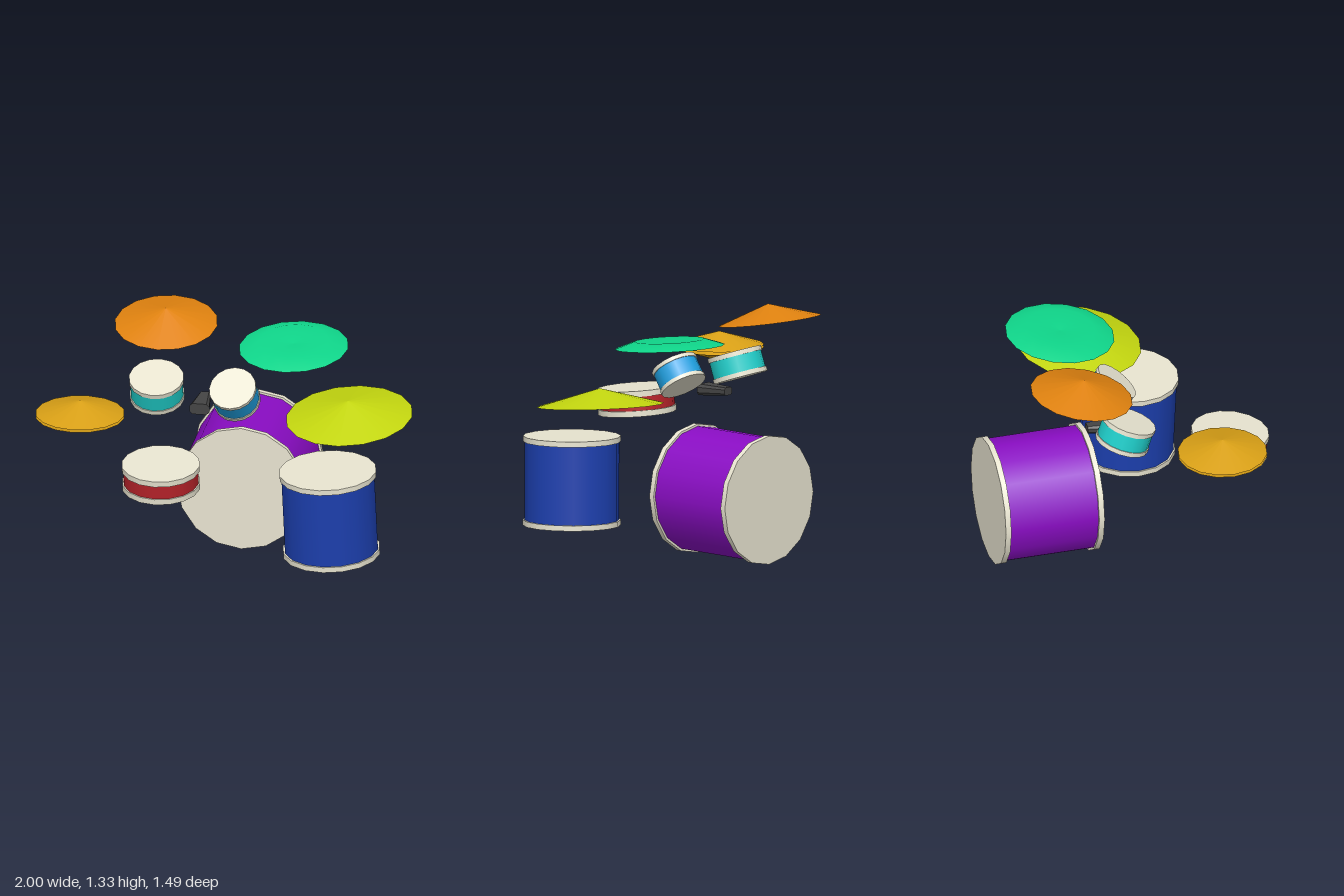
import * as THREE from 'three';

const SIDES = 16;
const CREAM = 0xe8e4d0;
const UP = new THREE.Vector3(0, 1, 0);
const mat = (color, side = THREE.FrontSide) => new THREE.MeshStandardMaterial({ color, side });

// Drum between two head centres: coloured shell with a cream hoop and head at each end
function drum(name, bottom, top, radius, hoopHeight, color) {
  const a = new THREE.Vector3(...bottom);
  const b = new THREE.Vector3(...top);
  const length = a.distanceTo(b);
  const group = new THREE.Group();
  group.name = name;

  const shell = new THREE.Mesh(
    new THREE.CylinderGeometry(radius * 0.965, radius * 0.965, length - hoopHeight, SIDES, 1, true), mat(color));
  shell.name = name + 'Shell';
  group.add(shell);

  for (const s of [1, -1]) {
    const hoop = new THREE.Mesh(new THREE.CylinderGeometry(radius, radius, hoopHeight, SIDES), mat(CREAM));
    hoop.name = name + (s > 0 ? 'TopHoop' : 'BottomHoop');
    hoop.position.y = s * (length - hoopHeight) / 2;
    group.add(hoop);
  }
  group.position.copy(a).lerp(b, 0.5);
  group.quaternion.setFromUnitVectors(UP, b.sub(a).normalize());
  return group;
}

// Thin cymbal turned from a [radius, height] profile, leaning along its axis
function cymbal(name, centre, axis, profile, color) {
  const points = profile.map(([r, y]) => new THREE.Vector2(r, y));
  const mesh = new THREE.Mesh(new THREE.LatheGeometry(points, SIDES), mat(color, THREE.DoubleSide));
  mesh.name = name;
  mesh.position.set(...centre);
  mesh.quaternion.setFromUnitVectors(UP, new THREE.Vector3(...axis).normalize());
  return mesh;
}

// Cowbell: chamfered block narrowing and rising towards the back
function cowbell() {
  const w = 0.055, h = 0.031, c = 0.016, depth = 0.18;
  const outline = [[w, h - c], [w - c, h], [c - w, h], [-w, h - c], [-w, c - h], [c - w, -h], [w - c, -h], [w, c - h]];
  const geometry = new THREE.ExtrudeGeometry(
    new THREE.Shape(outline.map(([x, y]) => new THREE.Vector2(x, y))), { depth, bevelEnabled: false });
  const p = geometry.attributes.position;
  for (let i = 0; i < p.count; i++) {
    const back = 1 - p.getZ(i) / depth;
    p.setX(i, p.getX(i) * (1 - 0.45 * back));
    p.setY(i, p.getY(i) * (1 - 0.3 * back) + 0.008 * back);
  }
  geometry.computeVertexNormals();
  const mesh = new THREE.Mesh(geometry, mat(0x444444));
  mesh.name = 'cowbell';
  mesh.position.set(-0.173, 0.857, -0.25);
  return mesh;
}

export function createModel() {
  const model = new THREE.Group();
  model.name = 'drumKit';

  // Drums
  model.add(
    drum('bassDrum', [0.037, 0.355, -0.745], [0.037, 0.355, -0.188], 0.355, 0.031, 0x8a0dc4),
    drum('floorTom', [0.604, 0.178, 0.19], [0.585, 0.667, 0.206], 0.267, 0.03, 0x1c3fae),
    drum('snareDrum', [-0.278, 0.637, 0.517], [-0.278, 0.777, 0.53], 0.214, 0.032, 0xb8232a),
    drum('rightTom', [-0.414, 0.891, -0.121], [-0.411, 1.026, -0.074], 0.15, 0.026, 0x1fcfcb),
    drum('leftTom', [0.03, 0.905, -0.109], [0.018, 1.014, -0.025], 0.13, 0.022, 0x20a0e0),
  );

  // Cymbals
  model.add(
    cymbal('crashCymbal', [-0.405, 1.237, -0.344], [0, 1, 0.164], [[0.282, 0], [0, 0.092]], 0xe0820f),
    cymbal('rideCymbal', [0.655, 0.88, -0.068], [-0.06, 1, 0.103], [[0.348, 0], [0, 0.092]], 0xc3d60f),
    cymbal('chinaCymbal', [0.313, 1.18, -0.266], [-0.03, 1, 0.093],
      [[0.3, 0], [0.19, 0.037], [0, 0.02]], 0x0fd68a),
  );

  // Hi-hat pair with a narrow gap
  const hiHat = new THREE.Group();
  hiHat.name = 'hiHat';
  hiHat.add(
    cymbal('hiHatTop', [-0.755, 0.968, 0.353], [0, 1, 0], [[0.244, 0], [0, 0.074]], 0xd9a016),
    cymbal('hiHatBottom', [-0.755, 0.953, 0.353], [0, 1, 0], [[0, -0.074], [0.244, 0]], 0xd9a016),
  );
  model.add(hiHat, cowbell());
  return model;
}
